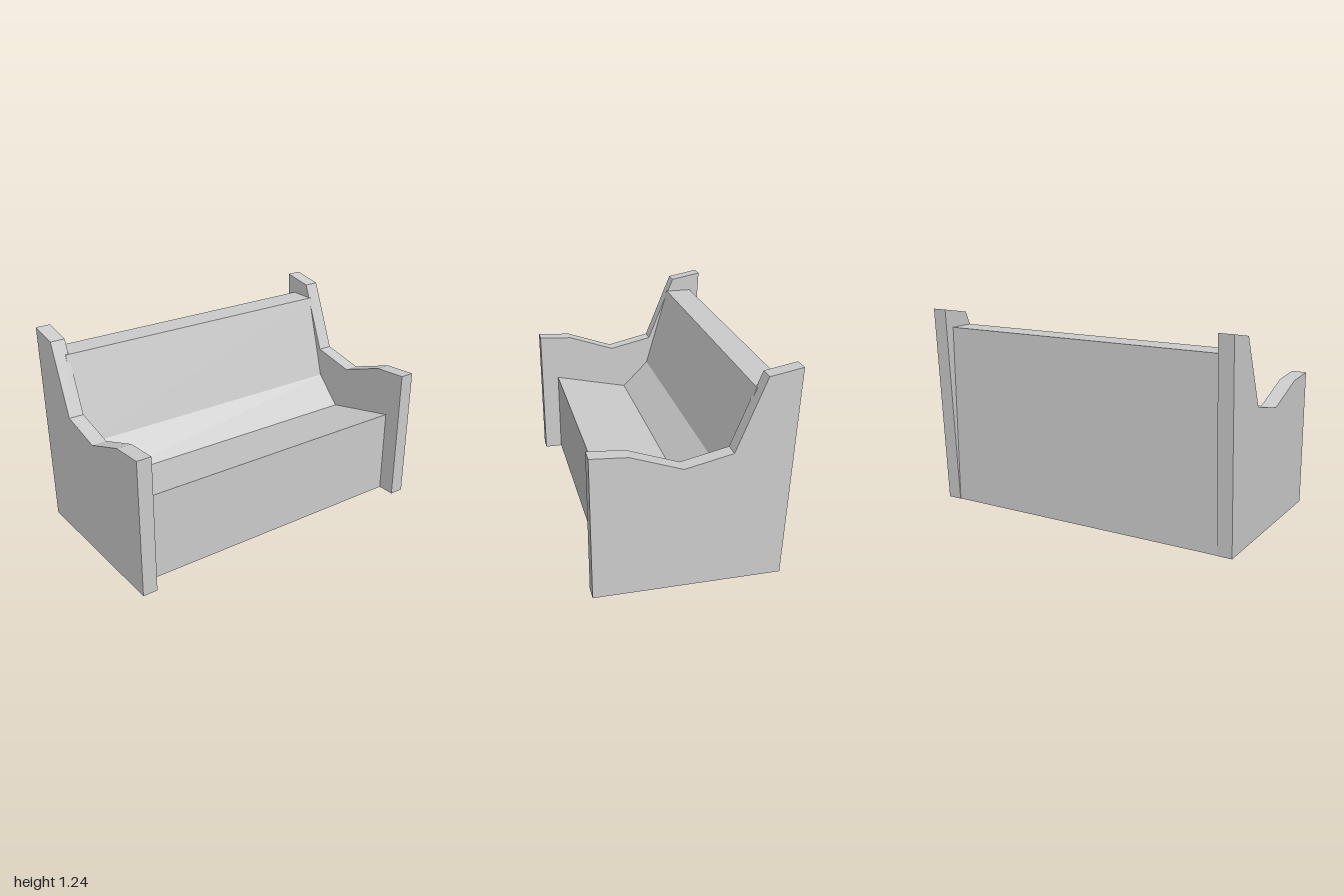
import * as THREE from 'three';

const material = new THREE.MeshStandardMaterial({ color: 0xcccccc, flatShading: true });

// Extrudes a [z, y] side profile along x from x0 to x1.
function extrudeAlongX(name, profile, x0, x1) {
  const shape = new THREE.Shape(profile.map(([z, y]) => new THREE.Vector2(-z, y)));
  const geometry = new THREE.ExtrudeGeometry(shape, { depth: x1 - x0, bevelEnabled: false });
  geometry.rotateY(Math.PI / 2).translate(x0, 0, 0);
  const mesh = new THREE.Mesh(geometry, material);
  mesh.name = name;
  return mesh;
}

export function createModel() {
  const bench = new THREE.Group();
  bench.name = 'bench';

  // Solid body: boxed front, seat tilted backwards, two-step backrest
  const bodyProfile = [
    [0.46, 0], [0.46, 0.54], [-0.02, 0.43], [-0.19, 0.6],
    [-0.34, 1.12], [-0.505, 1.12], [-0.505, 0],
  ];
  bench.add(extrudeAlongX('seatAndBackrest', bodyProfile, -0.93, 0.93));

  // End panels with dipped armrests, raked backwards at the rear
  const panelProfile = [
    [0.57, 0], [0.57, 0.845], [0.36, 0.83], [0.065, 0.725],
    [-0.208, 0.785], [-0.38, 1.203], [-0.57, 1.237], [-0.508, 0],
  ];
  bench.add(extrudeAlongX('leftEndPanel', panelProfile, 0.91, 1));
  bench.add(extrudeAlongX('rightEndPanel', panelProfile, -1, -0.91));

  return bench;
}
